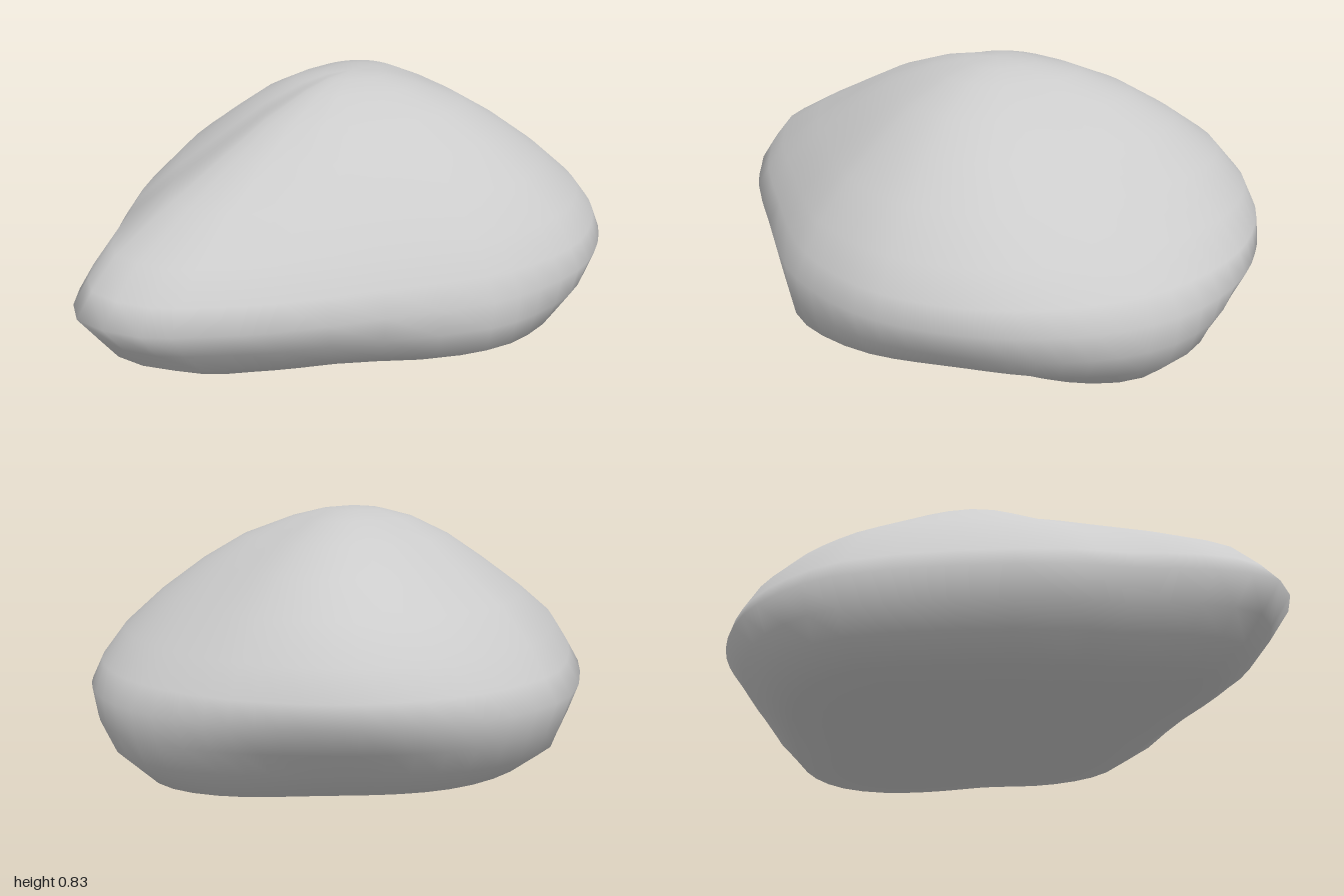
import * as THREE from 'three';

// Widest outline seen from above (x, z), starting at +x and running through +z
const OUTLINE = [
  [1, 0.04], [0.97, 0.22], [0.91, 0.37], [0.83, 0.5], [0.73, 0.61], [0.6, 0.71], [0.45, 0.78],
  [0.25, 0.81], [0.07, 0.8], [-0.26, 0.7], [-0.58, 0.59], [-0.75, 0.5], [-0.9, 0.4], [-1, 0.2],
  [-0.91, 0.01], [-0.76, -0.16], [-0.65, -0.31], [-0.4, -0.55], [-0.1, -0.76], [0.11, -0.81],
  [0.31, -0.8], [0.49, -0.74], [0.64, -0.65], [0.75, -0.55], [0.84, -0.44], [0.92, -0.31], [0.98, -0.14],
];

// Ring heights, and the share of the outline each ring reaches, every 45 degrees from +x through +z
const HEIGHTS = [0.825, 0.8, 0.74, 0.66, 0.56, 0.45, 0.36, 0.29, 0.2, 0.12, 0.05, 0.025, 0.025];
const REACH = [
  [0.12, 0.23, 0.39, 0.54, 0.7, 0.85, 0.95, 1, 0.99, 0.96, 0.85, 0.62, 0.3], // left
  [0.12, 0.24, 0.43, 0.59, 0.75, 0.89, 0.96, 0.99, 0.95, 0.86, 0.64, 0.43, 0.2], // front left, undercut
  [0.12, 0.25, 0.43, 0.58, 0.74, 0.88, 0.95, 1, 0.99, 0.97, 0.81, 0.56, 0.28], // front
  [0.12, 0.25, 0.42, 0.57, 0.73, 0.88, 0.95, 1, 0.94, 0.86, 0.73, 0.52, 0.27], // front right
  [0.1, 0.19, 0.34, 0.49, 0.68, 0.87, 0.95, 1, 0.94, 0.89, 0.78, 0.58, 0.3], // right
  [0.13, 0.26, 0.42, 0.57, 0.74, 0.88, 0.95, 1, 0.95, 0.9, 0.79, 0.58, 0.3], // back right
  [0.13, 0.25, 0.41, 0.56, 0.75, 0.88, 0.95, 1, 0.96, 0.92, 0.8, 0.58, 0.3], // back
  [0.15, 0.31, 0.5, 0.67, 0.83, 0.94, 0.99, 1, 0.92, 0.83, 0.71, 0.52, 0.27], // back left shoulder
];
const CENTER = { x: 0.1, z: 0.03 };
const TOP = 0.835;
const SEGMENTS = 54;

// Cubic blend through the neighbouring profiles
function reachAt(angle, ring) {
  const turn = (angle / (Math.PI / 4) + 8) % 8;
  const k = Math.floor(turn), t = turn - k;
  const [a, b, c, d] = [7, 0, 1, 2].map((n) => REACH[(k + n) % 8][ring]);
  return b + 0.5 * t * (c - a + t * (2 * a - 5 * b + 4 * c - d + t * (3 * (b - c) + d - a)));
}

function rockGeometry() {
  const curve = new THREE.CatmullRomCurve3(
    OUTLINE.map(([x, z]) => new THREE.Vector3(x, 0, z)), true);
  const rim = Array.from({ length: SEGMENTS }, (_, j) => curve.getPoint(j / SEGMENTS));
  const positions = [CENTER.x, TOP, CENTER.z];
  const index = [];

  // Rings from the crown down to the underside
  HEIGHTS.forEach((height, i) => {
    for (const p of rim) {
      const dx = p.x - CENTER.x, dz = p.z - CENTER.z;
      const reach = reachAt(Math.atan2(dz, dx), i);
      // The underside sags a little toward +x
      const sag = i > 9 ? 0.025 * THREE.MathUtils.smoothstep(dx * reach, -0.2, 0.5) : 0;
      positions.push(CENTER.x + dx * reach, height - sag, CENTER.z + dz * reach);
    }
  });
  positions.push(CENTER.x, 0.02, CENTER.z);

  // Fans close both ends, quads join the rings
  const at = (i, j) => 1 + i * SEGMENTS + (j % SEGMENTS);
  const last = HEIGHTS.length - 1;
  const bottom = positions.length / 3 - 1;
  for (let j = 0; j < SEGMENTS; j++) {
    index.push(0, at(0, j + 1), at(0, j));
    for (let i = 0; i < last; i++) {
      index.push(at(i, j), at(i, j + 1), at(i + 1, j));
      index.push(at(i, j + 1), at(i + 1, j + 1), at(i + 1, j));
    }
    index.push(bottom, at(last, j), at(last, j + 1));
  }

  const geometry = new THREE.BufferGeometry();
  geometry.setAttribute('position', new THREE.Float32BufferAttribute(positions, 3));
  geometry.setIndex(index);
  geometry.computeVertexNormals();
  return geometry;
}

export function createModel() {
  const group = new THREE.Group();
  group.name = 'boulder';
  const rock = new THREE.Mesh(rockGeometry(), new THREE.MeshStandardMaterial({ color: 0xcccccc }));
  rock.name = 'rock';
  group.add(rock);
  return group;
}
